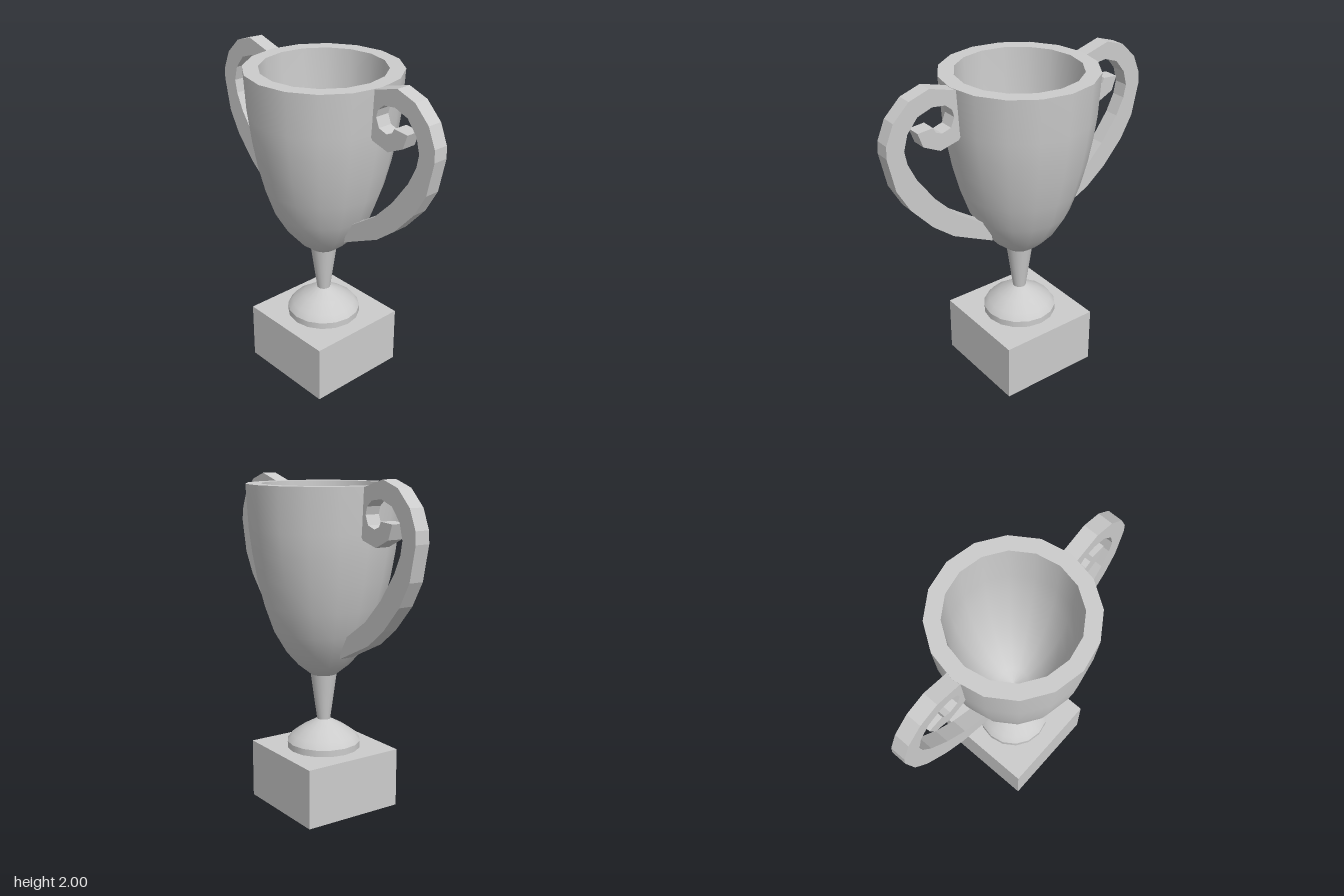
import * as THREE from 'three';

const SIDES = 16;
const material = new THREE.MeshStandardMaterial({ color: 0xcccccc });

function add(parent, name, geometry) {
  const mesh = new THREE.Mesh(geometry, material);
  mesh.name = name;
  parent.add(mesh);
  return mesh;
}

const vectors = (points) => points.map(([x, y]) => new THREE.Vector2(x, y));
const lathe = (points) => new THREE.LatheGeometry(vectors(points), SIDES);

export function createModel() {
  const trophy = new THREE.Group();
  trophy.name = 'trophyCup';

  // Square plinth
  add(trophy, 'plinth', new THREE.BoxGeometry(0.64, 0.36, 0.64)).position.y = 0.18;

  // Foot: short straight band with a dome above it
  add(trophy, 'footBand', lathe([[0.225, 0.36], [0.225, 0.4]]));
  add(trophy, 'footDome', lathe([[0.225, 0.4], [0.195, 0.44], [0.13, 0.485], [0.04, 0.535], [0, 0.54]]));

  // Tapered stem
  add(trophy, 'stem', lathe([[0.04, 0.53], [0.08, 0.82]]));

  // Bowl: separate surfaces keep the rim edges sharp
  const bowl = new THREE.Group();
  bowl.name = 'bowl';
  trophy.add(bowl);
  add(bowl, 'bowlOutside', lathe([
    [0, 0.82], [0.08, 0.82], [0.155, 0.88], [0.225, 0.96], [0.3, 1.09],
    [0.355, 1.25], [0.395, 1.41], [0.422, 1.56], [0.44, 1.7], [0.455, 1.955],
  ]));
  add(bowl, 'rim', lathe([[0.455, 1.955], [0.365, 1.955]]));
  add(bowl, 'bowlInside', lathe([
    [0.365, 1.955], [0.352, 1.7], [0.335, 1.54], [0.3, 1.37],
    [0.25, 1.21], [0.18, 1.07], [0.09, 0.97], [0, 0.94],
  ]));

  // Scrolled handle: flat outline given as its outer edge, curl and inner edge
  const outline = [
    // outer sweep from the bowl's lower wall to the top
    [0.24, 1.02], [0.23, 0.958], [0.495, 1.085], [0.627, 1.19], [0.76, 1.34], [0.838, 1.48],
    [0.88, 1.68], [0.876, 1.75], [0.828, 1.862], [0.73, 1.957], [0.606, 1.997], [0.44, 1.95],
    // outside of the curl, set into the bowl wall
    [0.4, 1.86], [0.4, 1.72], [0.44, 1.665], [0.555, 1.635], [0.66, 1.685], [0.69, 1.77],
    // inside of the curl
    [0.595, 1.778], [0.58, 1.748], [0.542, 1.732], [0.485, 1.75], [0.462, 1.805],
    [0.475, 1.85], [0.515, 1.884],
    // inner sweep back down
    [0.595, 1.894], [0.685, 1.862], [0.75, 1.783], [0.775, 1.693], [0.76, 1.614],
    [0.71, 1.508], [0.6, 1.354], [0.468, 1.217], [0.31, 1.11], [0.27, 1.09],
  ];
  const depth = 0.09;
  for (const [name, side] of [['leftHandle', 1], ['rightHandle', -1]]) {
    const shape = new THREE.Shape(vectors(outline.map(([x, y]) => [side * x, y])));
    const geometry = new THREE.ExtrudeGeometry(shape, { depth, bevelEnabled: false });
    add(trophy, name, geometry.translate(0, 0, -depth / 2));
  }

  return trophy;
}
